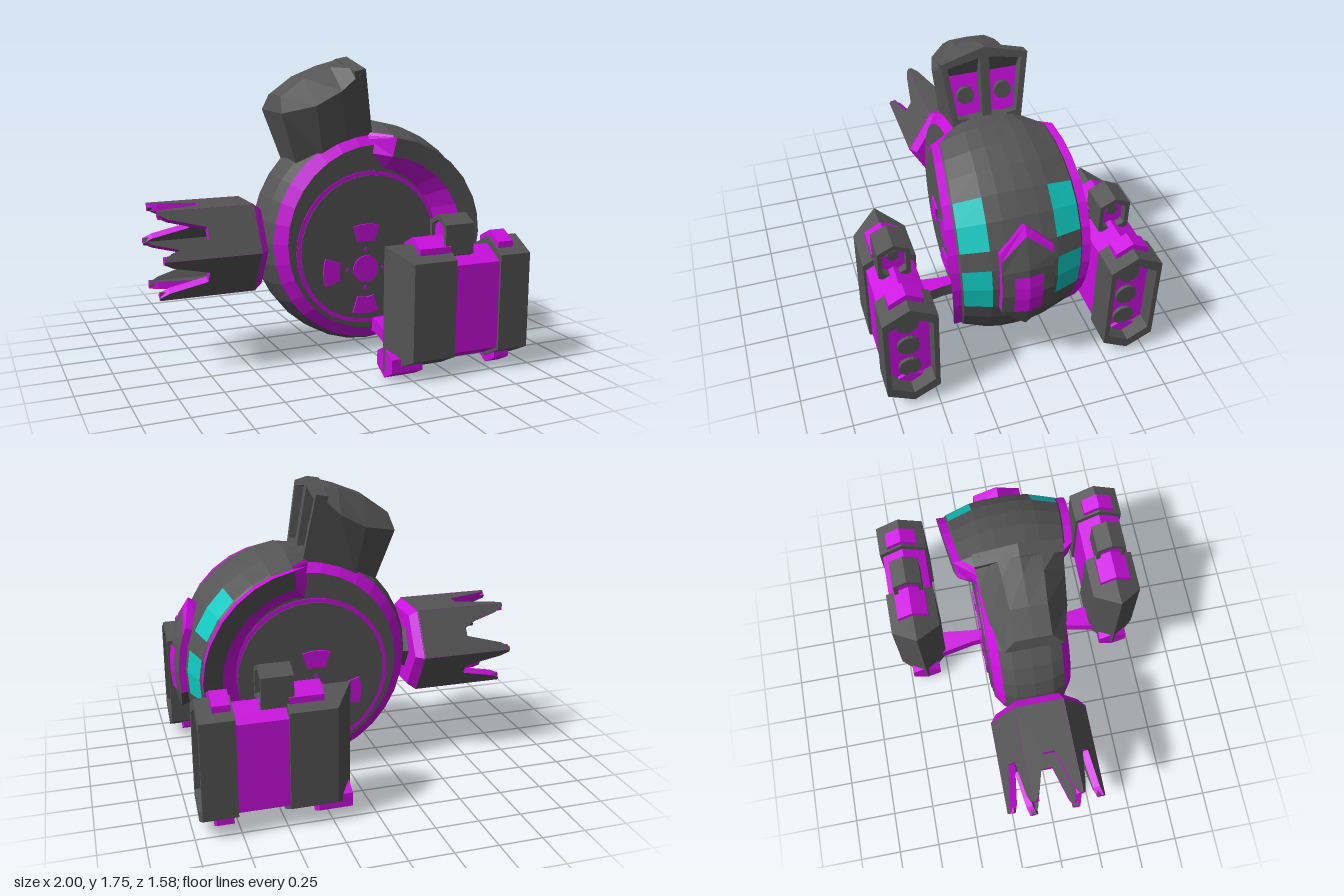
import * as THREE from 'three';
import { ConvexGeometry } from 'three/addons/geometries/ConvexGeometry.js';

const paint = (color) => new THREE.MeshStandardMaterial({ color, flatShading: true, side: THREE.DoubleSide });
const V = (x, y, z) => new THREE.Vector3(x, y, z);
const rad = THREE.MathUtils.degToRad;

export function createModel() {
  const model = new THREE.Group();
  const dark = paint(0x555555), mag = paint(0xcc0fe0), teal = paint(0x10c8c0);
  const CX = 0.27, CY = 0.70;
  // point on the hull in polar form around its z axis
  const polar = (r, deg, z) => V(CX + r * Math.cos(rad(deg)), CY + r * Math.sin(rad(deg)), z);

  function add(parent, name, geo, mat, x = 0, y = 0, z = 0) {
    const m = new THREE.Mesh(geo, mat);
    m.name = name;
    m.position.set(x, y, z);
    parent.add(m);
    return m;
  }
  // skin rows of points; matOf(row, column) picks the paint of each quad
  function loft(parent, name, rows, matOf) {
    const sets = new Map();
    for (let i = 0; i < rows.length - 1; i++) for (let j = 0; j < rows[i].length - 1; j++) {
      const m = matOf(i, j);
      if (!sets.has(m)) sets.set(m, []);
      const a = rows[i][j], b = rows[i][j + 1], c = rows[i + 1][j + 1], d = rows[i + 1][j];
      sets.get(m).push(a, b, c, a, c, d);
    }
    for (const [m, pts] of sets) {
      const g = new THREE.BufferGeometry().setFromPoints(pts);
      g.computeVertexNormals();
      add(parent, name, g, m);
    }
  }
  // mirror a half profile [a, z] (z from 0 outward) to both sides
  const both = (half) => [...half.slice(1).reverse().map(([a, z, b]) => [a, -z, b]), ...half];
  const poly = (pts) => new THREE.Shape(pts.map(([x, y]) => new THREE.Vector2(x, y)));
  const hexPts = (w, y0, y1, slope) => [[0, y0], [w, y0 + slope], [w, y1 - slope], [0, y1], [-w, y1 - slope], [-w, y0 + slope]];
  // upright six-sided prism running along x
  function hexPrism(x0, x1, w, y0, y1, slope, hole) {
    const s = poly(hexPts(w, y0, y1, slope));
    if (hole) s.holes.push(poly(hole));
    return new THREE.ExtrudeGeometry(s, { depth: x1 - x0, bevelEnabled: false }).rotateY(Math.PI / 2).translate(x0, 0, 0);
  }
  const discX = (r, h) => new THREE.CylinderGeometry(r, r, h, 16).rotateZ(Math.PI / 2);

  // lens-shaped hull with coloured ring on each flank
  const lens = both([[0.66, 0], [0.65, 0.11], [0.62, 0.18], [0.55, 0.23], [0, 0.23]]);
  const lensRows = [];
  for (let i = 0; i <= 32; i++) lensRows.push(lens.map(([r, z]) => polar(r, i * 11.25, z)));
  loft(model, 'hull', lensRows, (i, j) => (j === 1 || j === 6 ? mag : dark));

  // wide front shell with windows, tapering into the hull at both ends
  const wide = both([[0.67, 0], [0.667, 0.1], [0.655, 0.185], [0.61, 0.335], [0.6, 0.345], [0.6, 0.395], [0.49, 0.37], [0.38, 0.22]]);
  const slim = both([[0.655, 0], [0.65, 0.08], [0.64, 0.13], [0.62, 0.17], [0.6, 0.19], [0.58, 0.2], [0.5, 0.22], [0.38, 0.2]]);
  const angles = [83, 71, 60, 48, 36, 23, 13, 2, -10, -20, -30, -40];
  const shellRows = angles.map((a) => {
    const s = 1 - 0.13 * ((a - 21) / 62) ** 2;
    return wide.map(([r, z]) => polar(r, a, z * s));
  });
  shellRows.unshift(slim.map(([r, z]) => polar(r, 94, z)));
  shellRows.push(slim.map(([r, z]) => polar(r, -47, z)));
  loft(model, 'frontShell', shellRows, (i, j) => {
    const k = j < 7 ? 6 - j : j - 7;
    if (k === 2 && [4, 5, 7, 8].includes(i)) return teal;
    if (i === 0) return k > 2 ? mag : dark;
    if (i === angles.length) return k === 3 || k === 4 ? mag : dark;
    return k === 4 || k === 6 ? mag : dark;
  });

  // raised nose plate with chevron brow and centre inlay
  const nose = [[33, 22, -0.1], [33, 22, 0], [28, 18, 0], [13, 12, 0], [0, 0, 0], [-10, -10, 0], [-21, -10, 0], [-21, -10, -0.1]];
  loft(model, 'nosePlate', nose.map(([c, s, d]) => [
    polar(0.6, s, -0.145), polar(0.7 + d, s, -0.145), polar(0.725 + d, c, 0), polar(0.7 + d, s, 0.145), polar(0.6, s, 0.145),
  ]), (i, j) => (i < 2 || j === 0 || j === 3 ? mag : dark));
  loft(model, 'noseInlay', [10, 4, -2, -10].map((a) => [-0.08, 0, 0.08].map((z) => polar(z ? 0.716 : 0.73, a, z))), () => mag);

  // flank discs, hubs and pod struts
  for (const side of [1, -1]) {
    const g = new THREE.Group();
    g.name = side > 0 ? 'leftFlank' : 'rightFlank';
    g.scale.z = side;
    model.add(g);
    const discZ = (r, h) => new THREE.CylinderGeometry(r, r, h, 32).rotateX(Math.PI / 2);
    add(g, 'discRim', discZ(0.455, 0.03), mag, 0.225, 0.645, 0.22);
    add(g, 'disc', discZ(0.43, 0.03), dark, 0.225, 0.645, 0.226);
    add(g, 'hubCap', discZ(0.08, 0.02), mag, 0.2, 0.52, 0.24);
    for (let k = 0; k < 4; k++) {
      const a = k * Math.PI / 2, s = new THREE.Shape();
      s.absarc(0, 0, 0.27, a - 0.31, a + 0.31, false);
      s.absarc(0, 0, 0.17, a + 0.31, a - 0.31, true);
      add(g, 'hubSegment', new THREE.ExtrudeGeometry(s, { depth: 0.02, bevelEnabled: false, curveSegments: 4 }), mag, 0.2, 0.52, 0.232);
      add(g, 'hubBolt', discZ(0.012, 0.02), mag, 0.2 + 0.115 * Math.cos(a), 0.52 + 0.115 * Math.sin(a), 0.235);
    }
    // strut widens towards the pod
    const ring = (x0, x1, y0, y1, z) => [V(x0, y0, z), V(x0, y1, z), V(x1, y1, z), V(x1, y0, z), V(x0, y0, z)];
    loft(g, 'strut', [ring(0.26, 0.32, 0.13, 0.22, 0.1), ring(0.25, 0.33, 0.13, 0.21, 0.3), ring(0.21, 0.36, 0.12, 0.2, 0.52)],
      (i, j) => (j === 2 ? dark : mag));
  }

  // top fin: lofted hood
  const fin = [
    [[-0.18, 0.12, 1.12], [-0.29, 0.165, 1.44], [-0.27, 0.1, 1.53], [-0.27, 0, 1.535]],
    [[-0.05, 0.19, 1.2], [-0.1, 0.215, 1.48], [-0.13, 0.1, 1.63], [-0.13, 0, 1.635]],
    [[0.1, 0.19, 1.25], [0.05, 0.23, 1.56], [0.03, 0.11, 1.69], [0.03, 0, 1.7]],
    [[0.26, 0.19, 1.3], [0.19, 0.24, 1.68], [0.185, 0.12, 1.712], [0.18, 0, 1.745]],
  ];
  const finRows = fin.map((r) => [...r.map(([x, z, y]) => V(x, y, -z)), ...r.slice(0, 3).reverse().map(([x, z, y]) => V(x, y, z))]);
  finRows.unshift(finRows[0].map((p) => V(p.x, p.y, 0)));
  loft(model, 'fin', finRows, () => dark);

  // fin face: frame with two recessed lamp panels
  const face = new THREE.Group();
  face.name = 'finFace';
  face.position.set(0.26, 1.3, 0);
  face.rotation.set(0, Math.PI / 2, rad(10.2), 'ZYX');
  model.add(face);
  const frame = poly([[-0.19, 0], [0.19, 0], [0.24, 0.388], [0, 0.452], [-0.24, 0.388]]);
  for (const s of [1, -1]) {
    frame.holes.push(poly([[0.025 * s, 0.04], [0.165 * s, 0.06], [0.205 * s, 0.36], [0.025 * s, 0.395]]));
    loft(face, 'lampPanel', [[0.03, 0.16, -0.05], [0.29, 0.2, -0.07], [0.4, 0.21, -0.02]].map(([v, w, d]) => [V(0.02 * s, v, d), V(w * s, v, d)]),
      (i) => (i ? dark : mag));
    add(face, 'lamp', new THREE.CylinderGeometry(0.048, 0.048, 0.03, 16).rotateX(Math.PI / 2), dark, 0.105 * s, 0.175, -0.05);
  }
  add(face, 'finFrame', new THREE.ExtrudeGeometry(frame, { depth: 0.07, bevelEnabled: false }).translate(0, 0, -0.07), dark);

  // tail: six notched panels around a six-sided tube
  const tail = new THREE.Group();
  tail.name = 'tail';
  tail.position.y = 0.685;
  model.add(tail);
  const S = 0.145;
  const panel = poly([[-0.45, -S], [-0.45, S], [-1, S], [-1, S - 0.02], [-0.95, S - 0.05], [-0.74, 0.035],
    [-0.74, -0.035], [-0.95, 0.05 - S], [-1, 0.02 - S], [-1, -S]]);
  for (let k = 0; k < 6; k++) {
    const geo = new THREE.ExtrudeGeometry(panel, { depth: 0.045, bevelEnabled: false }).rotateX(Math.PI / 2).translate(0, 0.25, 0);
    add(tail, 'tailPanel', geo, [dark, mag]).rotation.x = k * Math.PI / 3;
  }
  const hexTube = (r0, r1, h) => new THREE.CylinderGeometry(r0, r1, h, 6).rotateZ(-Math.PI / 2);
  add(tail, 'tailCollar', hexTube(0.25, 0.29, 0.05), mag, -0.43);
  add(tail, 'tailFloor', hexTube(0.26, 0.26, 0.06), dark, -0.5);
  add(tail, 'tailNeck', hexTube(0.1, 0.14, 0.1), dark, -0.36);

  // side pods
  for (const side of [1, -1]) {
    const pod = new THREE.Group();
    pod.name = side > 0 ? 'leftPod' : 'rightPod';
    pod.position.z = 0.64 * side;
    model.add(pod);
    const outline = hexPts(0.15, 0.04, 0.75, 0.08);
    const rear = [V(0.12, 0.04, 0), V(0.12, 0.75, 0)];
    for (const x of [0.23, 0.49]) for (const [z, y] of outline) rear.push(V(x, y, z));
    add(pod, 'podRear', new ConvexGeometry(rear), dark);
    add(pod, 'podMiddle', hexPrism(0.48, 0.86, 0.135, 0.06, 0.71, 0.075), mag);
    add(pod, 'podFrame', hexPrism(0.77, 0.96, 0.15, 0.04, 0.75, 0.08, hexPts(0.122, 0.1, 0.69, 0.07)), dark);
    for (const y of [0.22, 0.39, 0.56]) add(pod, 'podPort', discX(0.063, 0.04), dark, 0.86, y);
    // ridge and keel blocks
    for (const [x0, x1] of [[0.29, 0.48], [0.785, 0.88]]) add(pod, 'ridgeBlock', hexPrism(x0, x1, 0.095, 0.6, 0.785, 0.05), mag);
    for (const [x0, x1] of [[0.13, 0.32], [0.785, 0.88]]) add(pod, 'keelBlock', hexPrism(x0, x1, 0.09, 0, 0.18, 0.05), mag);
    // small scope on top
    add(pod, 'scope', hexPrism(0.45, 0.625, 0.09, 0.64, 0.9, 0.045, hexPts(0.065, 0.68, 0.87, 0.035)), dark);
    add(pod, 'scopePanel', hexPrism(0.47, 0.58, 0.075, 0.66, 0.885, 0.04), mag);
    add(pod, 'scopeLens', discX(0.033, 0.03), dark, 0.58, 0.8);
  }
  return model;
}
